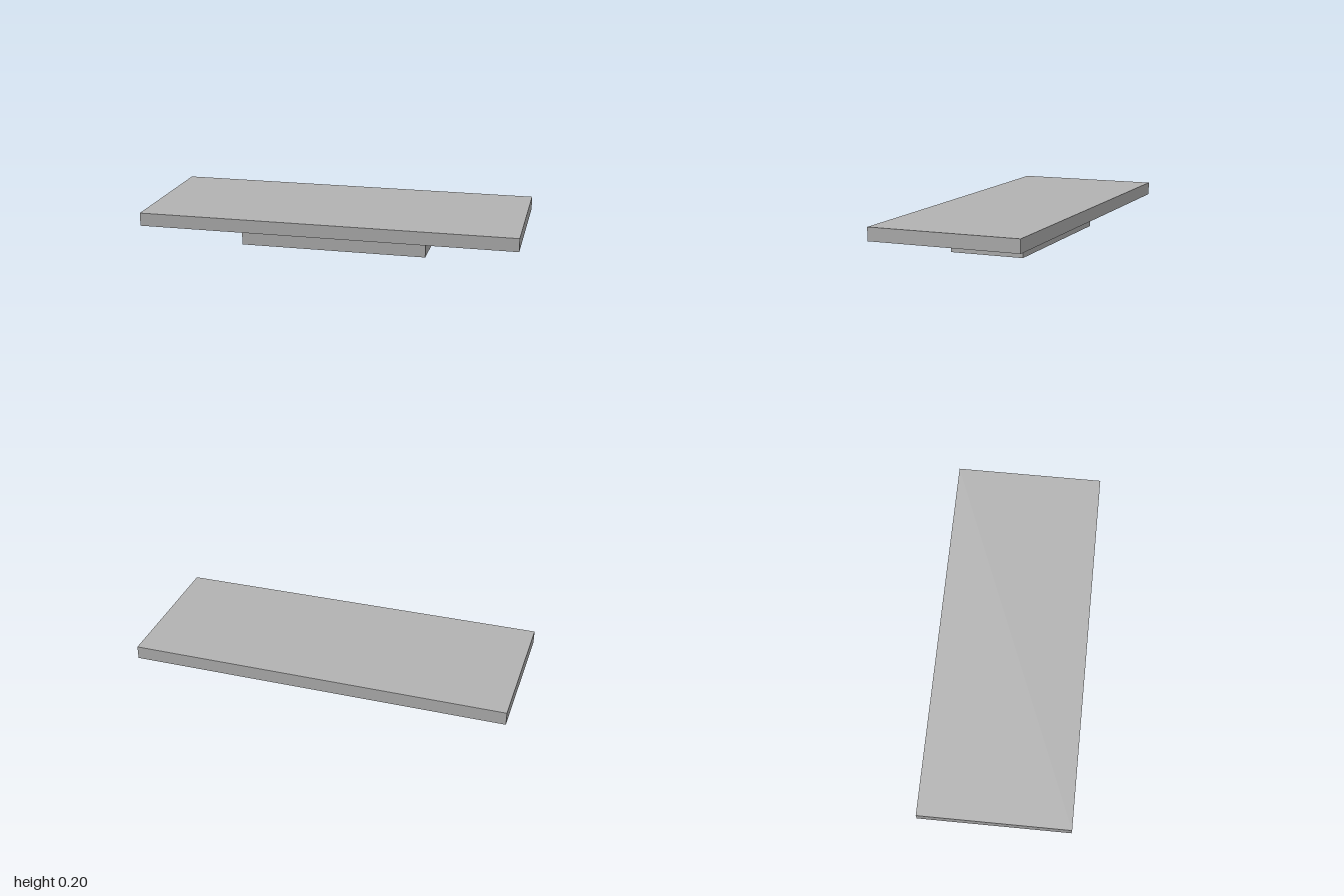
import * as THREE from 'three';

const grey = new THREE.MeshStandardMaterial({ color: 0xb2b2b2 });
grey.name = 'plain grey';

// Adds a closed rectangle, centred on (cx, 0), to a shape or path
function rectangle(path, cx, width, depth) {
  const w = width / 2, d = depth / 2;
  path.moveTo(cx - w, -d);
  path.lineTo(cx + w, -d);
  path.lineTo(cx + w, d);
  path.lineTo(cx - w, d);
  path.closePath();
  return path;
}

export function createModel() {
  const model = new THREE.Group();
  model.name = 'slabWithFrame';

  // Wide top slab
  const slab = new THREE.Mesh(new THREE.BoxGeometry(2, 0.07, 0.8), grey);
  slab.name = 'topSlab';
  slab.position.y = 0.165;
  model.add(slab);

  // Frame below the slab, with three equal openings and even walls
  const length = 1, depth = 0.4, wall = 0.0333, height = 0.11, count = 3;
  const cell = (length - wall * (count + 1)) / count;
  const outline = rectangle(new THREE.Shape(), 0, length, depth);
  for (let i = 0; i < count; i++) {
    const cx = (i - (count - 1) / 2) * (cell + wall);
    outline.holes.push(rectangle(new THREE.Path(), cx, cell, depth - 2 * wall));
  }
  const geometry = new THREE.ExtrudeGeometry(outline, { depth: height, bevelEnabled: false });
  geometry.rotateX(-Math.PI / 2);
  const frame = new THREE.Mesh(geometry, grey);
  frame.name = 'lowerFrame';
  model.add(frame);

  return model;
}
